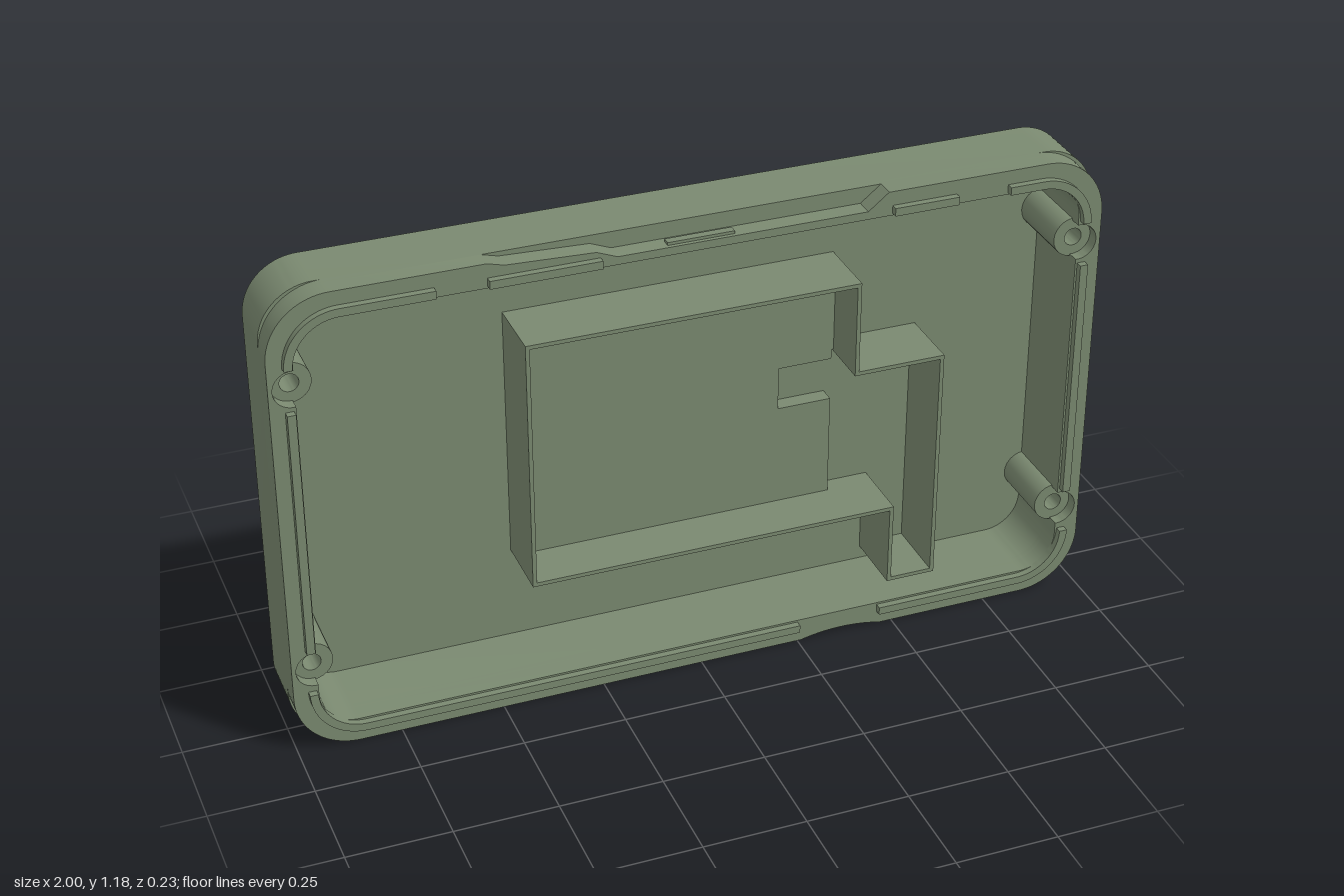
import * as THREE from 'three';
import { toCreasedNormals } from 'three/addons/utils/BufferGeometryUtils.js';

const BACK = -0.117, FLOOR = -0.098, RIM = 0.1, TOP = 1.185;
const POST_X = 0.945, POST_YS = [0.225, 0.965];

// Rounded rectangle, counterclockwise, inset from the full outline
function roundRect(inset, r) {
  const x = 1 - inset, y0 = inset, y1 = TOP - inset, s = new THREE.Shape();
  s.absarc(x - r, y0 + r, r, -Math.PI / 2, 0);
  s.absarc(x - r, y1 - r, r, 0, Math.PI / 2);
  s.absarc(-x + r, y1 - r, r, Math.PI / 2, Math.PI);
  s.absarc(-x + r, y0 + r, r, Math.PI, Math.PI * 1.5);
  s.closePath();
  return s;
}

// Inner cavity outline with round reliefs around the screw posts
function cavity() {
  const x = 0.94, y0 = 0.06, y1 = 1.125, r = 0.09, a = 1.68, s = new THREE.Path();
  s.absarc(x - r, y0 + r, r, -Math.PI / 2, 0);
  for (const y of POST_YS) s.absarc(POST_X, y, 0.045, -a, a);
  s.absarc(x - r, y1 - r, r, 0, Math.PI / 2);
  s.absarc(-x + r, y1 - r, r, Math.PI / 2, Math.PI);
  for (const y of [...POST_YS].reverse()) s.absarc(-POST_X, y, 0.045, Math.PI - a, Math.PI + a);
  s.absarc(-x + r, y0 + r, r, Math.PI, Math.PI * 1.5);
  s.closePath();
  return s;
}

// Front rim outline: recess along the top, shallow scoop underneath
function rimOutline() {
  const r = 0.15, s = new THREE.Shape();
  s.moveTo(0.26, 0);
  s.quadraticCurveTo(0.365, 0.025, 0.47, 0);
  s.absarc(1 - r, r, r, -Math.PI / 2, 0);
  s.absarc(1 - r, TOP - r, r, 0, Math.PI / 2);
  for (const [x, y] of [[0.45, TOP], [0.4, 1.145], [-0.2, 1.145], [-0.25, 1.165], [-0.46, 1.174], [-0.5, TOP]]) s.lineTo(x, y);
  s.absarc(-1 + r, TOP - r, r, Math.PI / 2, Math.PI);
  s.absarc(-1 + r, r, r, Math.PI, Math.PI * 1.5);
  s.closePath();
  return s;
}

const polygon = pts => new THREE.Shape(pts.map(p => new THREE.Vector2(...p)));

export function createModel() {
  const group = new THREE.Group();
  const green = new THREE.MeshStandardMaterial({ color: 0x7a8970, side: THREE.DoubleSide });
  green.name = 'sage green';

  const add = (name, geo) => {
    const mesh = new THREE.Mesh(geo, green);
    mesh.name = name;
    group.add(mesh);
    return mesh;
  };
  const extrude = (name, shape, z0, z1) => {
    const geo = new THREE.ExtrudeGeometry(shape, { depth: z1 - z0, bevelEnabled: false, curveSegments: 10 });
    geo.translate(0, 0, z0);
    return add(name, toCreasedNormals(geo, 0.5));
  };
  const box = (name, x0, x1, y0, y1, z0, z1) => {
    const geo = new THREE.BoxGeometry(x1 - x0, y1 - y0, z1 - z0);
    geo.translate((x0 + x1) / 2, (y0 + y1) / 2, (z0 + z1) / 2);
    return add(name, geo);
  };

  // Side walls in three layers
  const layers = [
    ['rearWall', roundRect(0, 0.13), FLOOR, 0.04],
    ['middleWall', roundRect(0, 0.15), 0.04, 0.055],
    ['frontWall', rimOutline(), 0.055, RIM],
  ];
  for (const [name, shape, z0, z1] of layers) {
    shape.holes.push(cavity());
    extrude(name, shape, z0, z1);
  }

  // Back plate faces with screw openings
  for (const [name, inset, z] of [['backFace', 0.018, BACK], ['innerFloor', 0.012, FLOOR]]) {
    const shape = roundRect(inset, 0.13 - inset);
    for (const x of [-POST_X, POST_X]) for (const y of POST_YS) {
      shape.holes.push(new THREE.Path().absarc(x, y, 0.035, 0, Math.PI * 2, true));
    }
    const geo = new THREE.ShapeGeometry(shape, 10);
    if (z === BACK) { // turn to face backwards
      geo.rotateY(Math.PI);
    }
    geo.translate(0, 0, z);
    add(name, geo);
  }

  // Chamfer band around the back
  const a = roundRect(0.018, 0.112).getPoints(10), b = roundRect(0, 0.13).getPoints(10);
  const band = [];
  for (let i = 0; i < a.length; i++) {
    const j = (i + 1) % a.length;
    const ai = [a[i].x, a[i].y, BACK], aj = [a[j].x, a[j].y, BACK];
    const bi = [b[i].x, b[i].y, FLOOR], bj = [b[j].x, b[j].y, FLOOR];
    band.push(...ai, ...aj, ...bj, ...ai, ...bj, ...bi);
  }
  const bandGeo = new THREE.BufferGeometry();
  bandGeo.setAttribute('position', new THREE.Float32BufferAttribute(band, 3));
  bandGeo.computeVertexNormals();
  add('backChamfer', toCreasedNormals(bandGeo, 0.5));

  // Hollow screw posts, counterbored from behind
  const profile = [[0.035, BACK], [0.035, -0.03], [0.022, -0.03], [0.022, 0.07], [0.05, 0.07], [0.05, FLOOR]]
    .map(p => new THREE.Vector2(...p));
  for (const x of [-POST_X, POST_X]) for (const y of POST_YS) {
    const geo = new THREE.LatheGeometry(profile, 24);
    geo.rotateX(Math.PI / 2);
    geo.translate(x, y, 0);
    add('screwPost', toCreasedNormals(geo, 0.5));
  }

  // Raised locating lip: four corner arcs and straight runs between gaps
  const Z0 = 0.095, Z1 = 0.117;
  [[0.835, 0.165], [0.835, 1.02], [-0.835, 1.02], [-0.835, 0.165]].forEach(([x, y], i) => {
    const t = (i - 1) * Math.PI / 2, s = new THREE.Shape();
    s.absarc(x, y, 0.13, t, t + Math.PI / 2);
    s.absarc(x, y, 0.11, t + Math.PI / 2, t, true);
    s.closePath();
    extrude('lipCorner', s, Z0, Z1);
  });
  box('lipLeft', 0.945, 0.965, 0.28, 0.91, Z0, Z1);
  box('lipRight', -0.965, -0.945, 0.28, 0.91, Z0, Z1);
  for (const [x0, x1] of [[-0.835, 0.25], [0.46, 0.835]]) box('lipBottom', x0, x1, 0.035, 0.055, Z0, Z1);
  for (const [x0, x1] of [[-0.835, -0.62], [-0.5, -0.24], [0.46, 0.62], [0.75, 0.835]]) {
    box('lipTop', x0, x1, 1.13, 1.15, Z0, Z1);
  }
  box('latchTab', -0.08, 0.08, 1.14, 1.152, 0.07, 0.09);

  // Stepped compartment frame
  const frame = polygon([[-0.41, 0.945], [-0.41, 0.3], [0.5, 0.3], [0.5, 0.095], [0.625, 0.095],
    [0.625, 0.71], [0.405, 0.71], [0.405, 0.945]]);
  frame.holes.push(polygon([[-0.4, 0.935], [-0.4, 0.31], [0.51, 0.31], [0.51, 0.105], [0.615, 0.105],
    [0.615, 0.7], [0.395, 0.7], [0.395, 0.935]]));
  extrude('compartmentFrame', frame, FLOOR, 0.07);

  // Raised compartment floor with a notch
  extrude('compartmentFloor', polygon([[-0.405, 0.305], [0.39, 0.305], [0.39, 0.57], [0.255, 0.57],
    [0.255, 0.68], [0.39, 0.68], [0.39, 0.705], [0.4, 0.705], [0.4, 0.94], [-0.405, 0.94]]), FLOOR, -0.058);

  return group;
}
